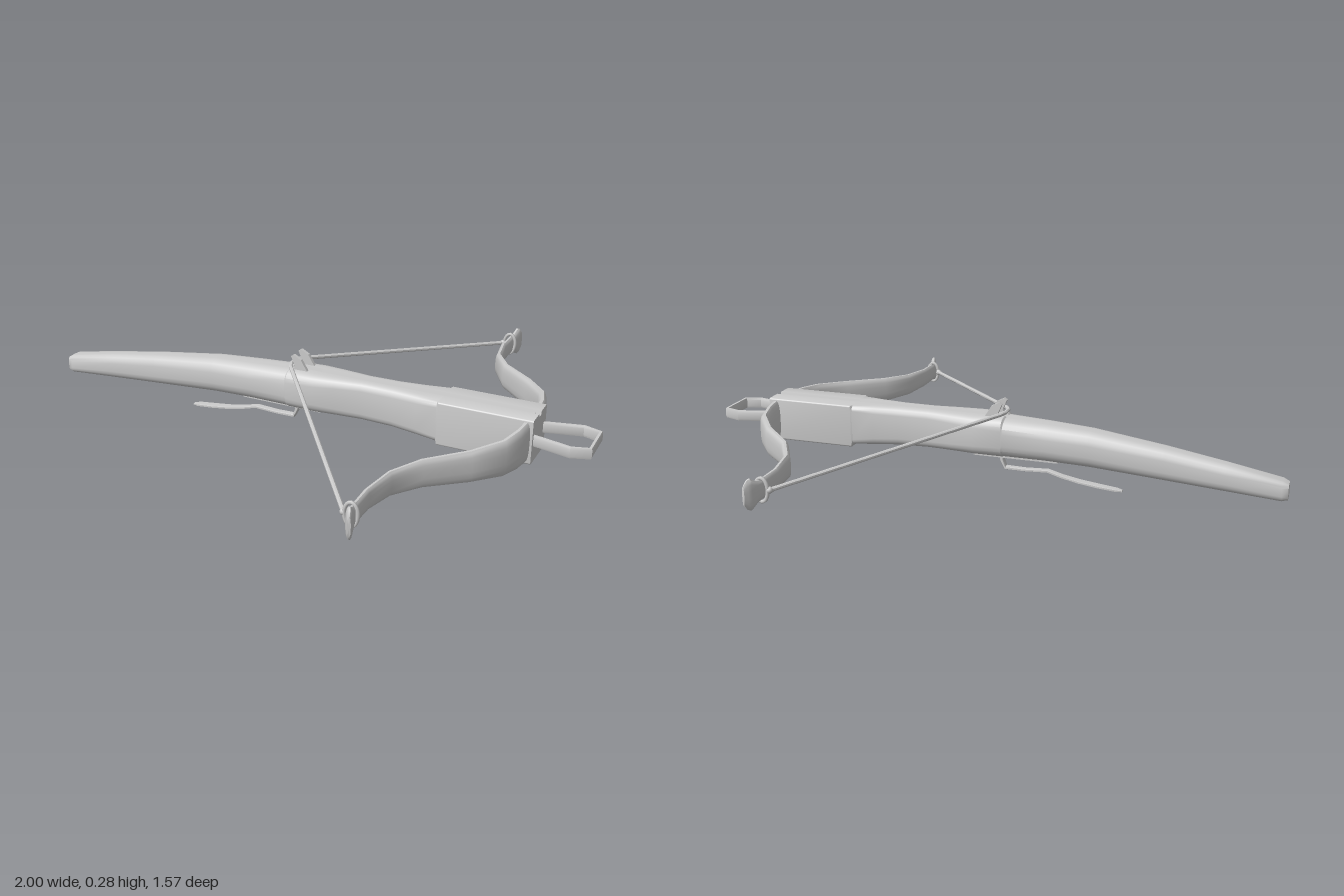
import * as THREE from 'three';
import { toCreasedNormals } from 'three/addons/utils/BufferGeometryUtils.js';

const V = (x, y, z) => new THREE.Vector3(x, y, z);

// Skin a list of rings (each counter-clockwise around the travel direction) and cap both ends.
function loft(rings, crease = 0.6) {
  const n = rings[0].length, pos = [], idx = [];
  rings.forEach(r => r.forEach(p => pos.push(p.x, p.y, p.z)));
  for (let i = 0; i < rings.length - 1; i++) {
    for (let j = 0; j < n; j++) {
      const k = (j + 1) % n, a = i * n + j, b = i * n + k;
      idx.push(a, b, a + n, b, b + n, a + n);
    }
  }
  [0, rings.length - 1].forEach((i, end) => {
    const c = V(0, 0, 0);
    rings[i].forEach(p => c.addScaledVector(p, 1 / n));
    const centre = pos.length / 3;
    pos.push(c.x, c.y, c.z);
    for (let j = 0; j < n; j++) {
      const a = i * n + j, b = i * n + (j + 1) % n;
      if (end) idx.push(centre, a, b); else idx.push(centre, b, a);
    }
  });
  const g = new THREE.BufferGeometry();
  g.setAttribute('position', new THREE.Float32BufferAttribute(pos, 3));
  g.setIndex(idx);
  return toCreasedNormals(g, crease);
}

// Sweep a superellipse along rows [x, y, z, half size along axis, half size across].
function sweep(rows, axis, sides = 8, power = 1, crease = 0.7) {
  const pts = rows.map(r => V(r[0], r[1], r[2]));
  const soft = v => Math.sign(v) * Math.pow(Math.abs(v), power);
  return loft(rows.map((r, i) => {
    const t = pts[Math.min(i + 1, pts.length - 1)].clone().sub(pts[Math.max(i - 1, 0)]);
    const across = t.cross(axis).normalize();
    return Array.from({ length: sides }, (_, j) => {
      const a = (j + 0.5) / sides * Math.PI * 2;
      return pts[i].clone()
        .addScaledVector(axis, soft(Math.cos(a)) * r[3])
        .addScaledVector(across, soft(Math.sin(a)) * r[4]);
    });
  }), crease);
}

// Complete a half path given for +z, running from -z to +z.
const mirrorRows = half => [
  ...half.slice().reverse().map(r => [r[0], r[1], -r[2], r[3], r[4]]), ...half];

// Rounded stock section with a bolt groove in the top.
function stockRing([x, bottom, top, hw, c, groove]) {
  const half = [[0.011, top - groove], [0.014, top]];
  for (let i = 0; i <= 4; i++) {
    const a = i / 4 * Math.PI / 2;
    half.push([hw - c + c * Math.sin(a), top - c + c * Math.cos(a)]);
  }
  for (let i = 0; i <= 4; i++) {
    const a = i / 4 * Math.PI / 2;
    half.push([hw - c + c * Math.cos(a), bottom + c - c * Math.sin(a)]);
  }
  const other = half.slice().reverse().map(([z, y]) => [-z, y]);
  return [...half, ...other].map(([z, y]) => V(x, y, z));
}

export function createModel() {
  const group = new THREE.Group();
  const mat = new THREE.MeshStandardMaterial({ color: 0xcccccc });
  const add = (name, geo) => {
    const m = new THREE.Mesh(geo, mat);
    m.name = name;
    group.add(m);
    return m;
  };
  const Y = V(0, 1, 0), Z = V(0, 0, 1);

  // Stock: x, bottom, top, half width, corner radius, groove depth
  add('stock', loft([
    [-1, 0.047, 0.1, 0.027, 0.012, 0],
    [-0.98, 0.042, 0.11, 0.036, 0.02, 0],
    [-0.8, 0.054, 0.145, 0.041, 0.03, 0],
    [-0.6, 0.07, 0.178, 0.048, 0.034, 0],
    [-0.35, 0.089, 0.213, 0.058, 0.042, 0],
    [-0.2, 0.095, 0.223, 0.064, 0.045, 0],
    [-0.055, 0.097, 0.23, 0.069, 0.045, 0],
    [-0.05, 0.097, 0.235, 0.07, 0.04, 0.012],
    [0.05, 0.1, 0.235, 0.073, 0.035, 0.012],
    [0.13, 0.101, 0.235, 0.063, 0.03, 0.012],
    [0.22, 0.1, 0.235, 0.051, 0.027, 0.012],
    [0.33, 0.098, 0.235, 0.053, 0.027, 0.012],
    [0.42, 0.094, 0.235, 0.062, 0.025, 0.012],
    [0.495, 0.091, 0.235, 0.071, 0.02, 0.012],
    [0.5, 0.084, 0.235, 0.073, 0.006, 0.012],
    [0.813, 0.084, 0.235, 0.073, 0.006, 0.012],
  ].map(stockRing)));

  // Recurved bow with flared tips
  add('bow', sweep(mirrorRows([
    [0.79, 0.158, 0.07, 0.07, 0.016],
    [0.783, 0.158, 0.13, 0.066, 0.016],
    [0.762, 0.158, 0.205, 0.06, 0.016],
    [0.69, 0.158, 0.3, 0.052, 0.015],
    [0.578, 0.158, 0.405, 0.046, 0.014],
    [0.518, 0.158, 0.505, 0.04, 0.012],
    [0.497, 0.158, 0.62, 0.034, 0.011],
    [0.498, 0.157, 0.715, 0.032, 0.01],
    [0.501, 0.156, 0.735, 0.036, 0.011],
    [0.507, 0.156, 0.758, 0.051, 0.011],
    [0.512, 0.156, 0.768, 0.047, 0.009],
    [0.517, 0.156, 0.781, 0.03, 0.005],
  ]), Y, 16, 0.75));

  // Bowstring drawn back over the nut, with a loop on each limb
  add('bowstring', sweep(mirrorRows([
    [-0.052, 0.248, 0.018, 0.007, 0.007],
    [-0.04, 0.246, 0.045, 0.007, 0.007],
    [0.468, 0.158, 0.712, 0.007, 0.007],
  ]), Y, 8));
  for (const s of [-1, 1]) {
    const loop = Array.from({ length: 12 }, (_, i) => {
      const a = i / 12 * Math.PI * 2;
      return V(0.493 + 0.021 * Math.cos(a), 0.157 + 0.038 * Math.sin(a), s * 0.716);
    });
    add('stringLoop', new THREE.TubeGeometry(new THREE.CatmullRomCurve3(loop, true), 24, 0.006, 6, true));
    const knot = add('stringKnot', new THREE.SphereGeometry(0.011, 10, 8));
    knot.position.set(0.468, 0.158, s * 0.712);
  }

  // Twin prongs of the nut that hold the string
  const prong = new THREE.Shape([[-0.045, 0.22], [-0.03, 0.245], [-0.045, 0.28],
    [-0.036, 0.287], [-0.008, 0.272], [0.015, 0.235], [0.015, 0.22]].map(p => new THREE.Vector2(...p)));
  for (const s of [-1, 1]) {
    const m = add('nutProng', new THREE.ExtrudeGeometry(prong, { depth: 0.012, bevelEnabled: false }));
    m.position.z = s * 0.028 - 0.006;
  }

  // Hexagonal foot stirrup
  add('stirrup', sweep(mirrorRows([
    [0.992, 0.162, 0.066, 0.019, 0.007],
    [0.936, 0.162, 0.084, 0.019, 0.007],
    [0.82, 0.162, 0.056, 0.019, 0.007],
    [0.8, 0.162, 0.05, 0.019, 0.007],
  ]), Y, 8, 0.5, 0.5));

  // Trigger lever and its plate under the stock
  add('triggerLever', sweep([
    [-0.036, 0.11, 0, 0.013, 0.007],
    [-0.037, 0.075, 0, 0.013, 0.007],
    [-0.05, 0.047, 0, 0.013, 0.006],
    [-0.12, 0.046, 0, 0.013, 0.005],
    [-0.2, 0.05, 0, 0.013, 0.005],
    [-0.25, 0.036, 0, 0.014, 0.005],
    [-0.31, 0.024, 0, 0.016, 0.005],
    [-0.38, 0.015, 0, 0.017, 0.005],
    [-0.44, 0.009, 0, 0.015, 0.005],
    [-0.46, 0.007, 0, 0.008, 0.003],
  ], Z, 8, 0.6));
  const plate = add('triggerPlate', new THREE.BoxGeometry(0.3, 0.014, 0.05));
  plate.position.set(-0.09, 0.095, 0);

  return group;
}
